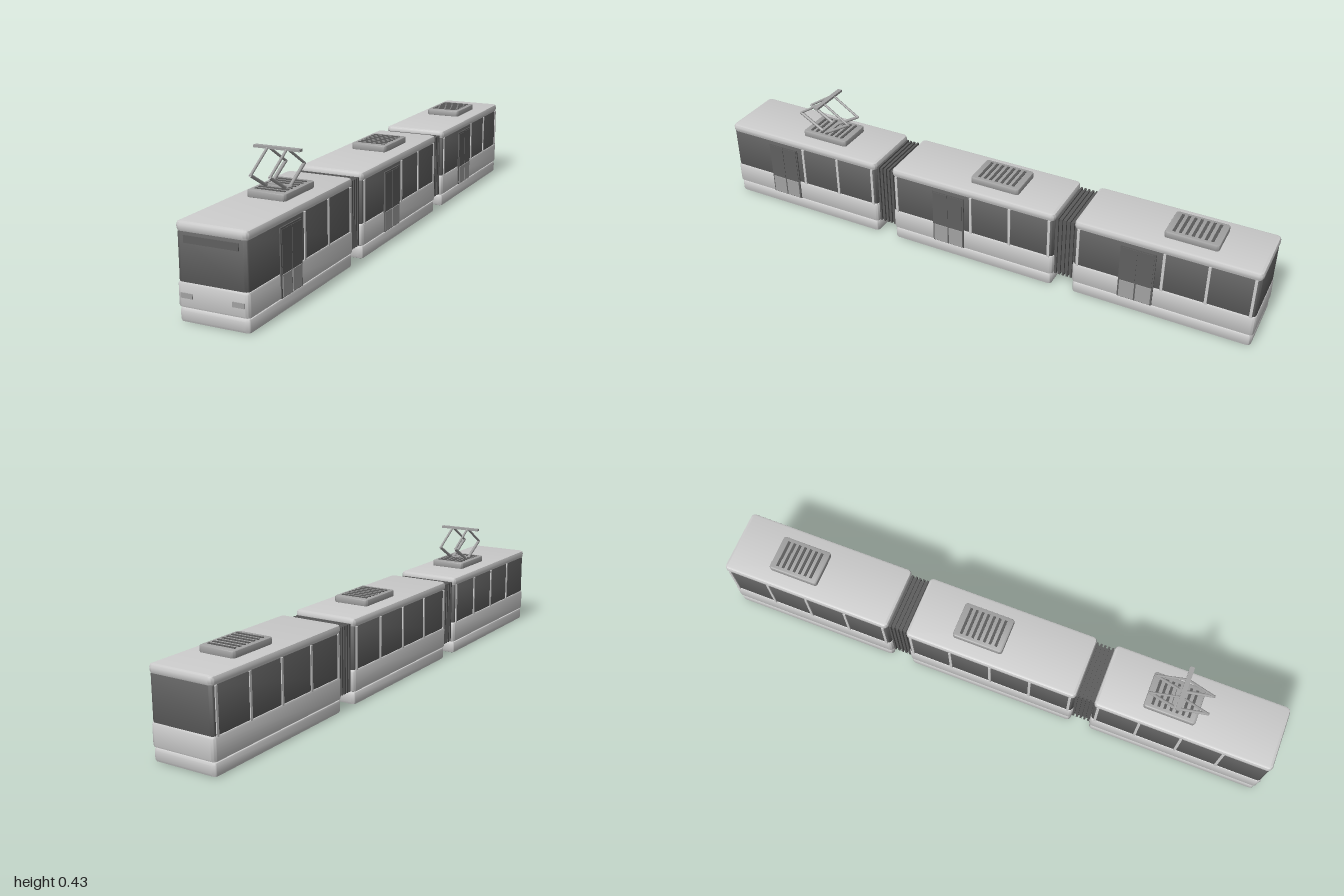
import * as THREE from 'three';
import { toCreasedNormals } from 'three/addons/utils/BufferGeometryUtils.js';

const material = (name, color) => Object.assign(new THREE.MeshStandardMaterial({ color }), { name });
const body = material('light grey body', 0xcccccc);
const glass = material('dark grey glass', 0x606060);
const rubber = material('bellows grey', 0x5a5a5a);
const metal = material('mid grey metal', 0xa2a2a2);

const CX = -0.004; // sideways centre of the cars
const LENGTH = 0.62;

function add(parent, name, geometry, mat, x = 0, y = 0, z = 0) {
  const mesh = new THREE.Mesh(geometry, mat);
  mesh.name = name;
  mesh.position.set(x, y, z);
  parent.add(mesh);
  return mesh;
}

const box = (w, h, d) => new THREE.BoxGeometry(w, h, d);

// Block with rounded upright corners and softened top and bottom rims, standing on y = 0
function slab(w, h, d, r, bevel) {
  const s = new THREE.Shape();
  const x = w / 2, y = d / 2;
  s.moveTo(-x + r, -y);
  s.lineTo(x - r, -y);
  s.absarc(x - r, -y + r, r, -Math.PI / 2, 0);
  s.lineTo(x, y - r);
  s.absarc(x - r, y - r, r, 0, Math.PI / 2);
  s.lineTo(-x + r, y);
  s.absarc(-x + r, y - r, r, Math.PI / 2, Math.PI);
  s.lineTo(-x, -y + r);
  s.absarc(-x + r, -y + r, r, Math.PI, Math.PI * 1.5);
  const g = new THREE.ExtrudeGeometry(s, {
    depth: h - 2 * bevel, bevelEnabled: true, bevelSize: bevel, bevelThickness: bevel,
    bevelOffset: -bevel, bevelSegments: 2, curveSegments: 4,
  });
  g.translate(0, 0, bevel);
  g.rotateX(-Math.PI / 2);
  return toCreasedNormals(g, 0.7);
}

// Round bar between two points
function rod(parent, name, a, b, radius) {
  const from = new THREE.Vector3(...a), to = new THREE.Vector3(...b);
  const dir = to.clone().sub(from);
  const mesh = add(parent, name, new THREE.CylinderGeometry(radius, radius, dir.length(), 8), metal);
  mesh.position.copy(from).add(to).multiplyScalar(0.5);
  mesh.quaternion.setFromUnitVectors(new THREE.Vector3(0, 1, 0), dir.normalize());
}

function createCar(name, isFront) {
  const car = new THREE.Group();
  car.name = name;

  // Stacked shell
  add(car, 'skirt', slab(0.228, 0.044, LENGTH - 0.006, 0.014, 0.009), body);
  add(car, 'lowerBody', slab(0.231, 0.076, LENGTH, 0.014, 0.008), body, 0, 0.044);
  add(car, 'windowBand', slab(0.226, 0.146, LENGTH - 0.005, 0.014, 0.004), glass, 0, 0.118);
  add(car, 'roof', slab(0.231, 0.03, LENGTH, 0.016, 0.01), body, 0, 0.261);

  // Window pillars
  for (const side of [-1, 1]) {
    for (let i = -2; i <= 2; i++) {
      if (i === 2 && isFront) continue;
      if (i === 1 && side === 1) continue; // door sits here
      const z = Math.abs(i) === 2 ? i * 0.146 : i * 0.1465;
      add(car, 'windowPillar', box(0.005, 0.146, 0.009), body, side * 0.1135, 0.19, z);
    }
  }

  // Double door on the left side
  const door = new THREE.Group();
  door.name = 'door';
  add(door, 'doorFrame', box(0.004, 0.206, 0.12), glass, 0.1165, 0.151, 0.085);
  for (const z of [0.0565, 0.1135]) {
    add(door, 'doorPanel', box(0.005, 0.066, 0.052), metal, 0.1185, 0.084, z);
    add(door, 'doorWindow', box(0.003, 0.13, 0.052), glass, 0.1185, 0.184, z);
  }
  car.add(door);

  // Roof ventilation unit with slats
  const vent = new THREE.Group();
  vent.name = 'roofVent';
  add(vent, 'ventCase', slab(0.13, 0.023, 0.18, 0.01, 0.004), metal, 0, 0.29);
  for (let i = -3; i <= 3; i++) {
    add(vent, 'ventSlat', box(0.1, 0.004, 0.009), rubber, 0, 0.313, i * 0.021);
  }
  vent.position.z = -0.065;
  car.add(vent);
  return car;
}

function createPantograph() {
  const p = new THREE.Group();
  p.name = 'pantograph';
  for (const x of [-0.032, 0.032]) {
    for (const s of [-1, 1]) {
      rod(p, 'lowerArm', [x, 0.312, s * 0.01], [x, 0.366, s * 0.102], 0.0055);
      rod(p, 'upperArm', [x, 0.364, s * 0.102], [x, 0.427, s * 0.004], 0.0042);
    }
  }
  for (const s of [-1, 1]) {
    add(p, 'armFoot', box(0.08, 0.006, 0.012), metal, 0, 0.314, s * 0.012);
  }
  add(p, 'contactBar', box(0.156, 0.008, 0.016), metal, 0, 0.428, 0);
  p.position.z = 0.637;
  return p;
}

function createBellows() {
  const g = new THREE.Group();
  g.name = 'bellows';
  add(g, 'bellowsCore', box(0.194, 0.214, 0.084), rubber, 0, 0.162, 0);
  for (let i = -2; i <= 2; i++) {
    add(g, 'bellowsFold', box(0.208, 0.226, 0.007), rubber, 0, 0.162, i * 0.014);
  }
  return g;
}

export function createModel() {
  const tram = new THREE.Group();
  tram.name = 'tram';

  // Three cars joined by two bellows
  const cars = [['frontCar', 0.687], ['middleCar', 0.002], ['rearCar', -0.687]];
  for (const [name, z] of cars) {
    const car = createCar(name, name === 'frontCar');
    car.position.z = z;
    tram.add(car);
  }
  for (const z of [0.344, -0.343]) {
    const bellows = createBellows();
    bellows.position.z = z;
    tram.add(bellows);
  }
  tram.add(createPantograph());

  // Headlights and destination panel on the nose
  for (const s of [-1, 1]) {
    add(tram, 'headlight', box(0.038, 0.015, 0.006), metal, s * 0.083, 0.082, 0.997);
  }
  add(tram, 'destinationPanel', box(0.174, 0.022, 0.006), glass, 0, 0.244, 0.995);

  tram.position.x = CX;
  const model = new THREE.Group();
  model.name = 'model';
  model.add(tram);
  return model;
}
